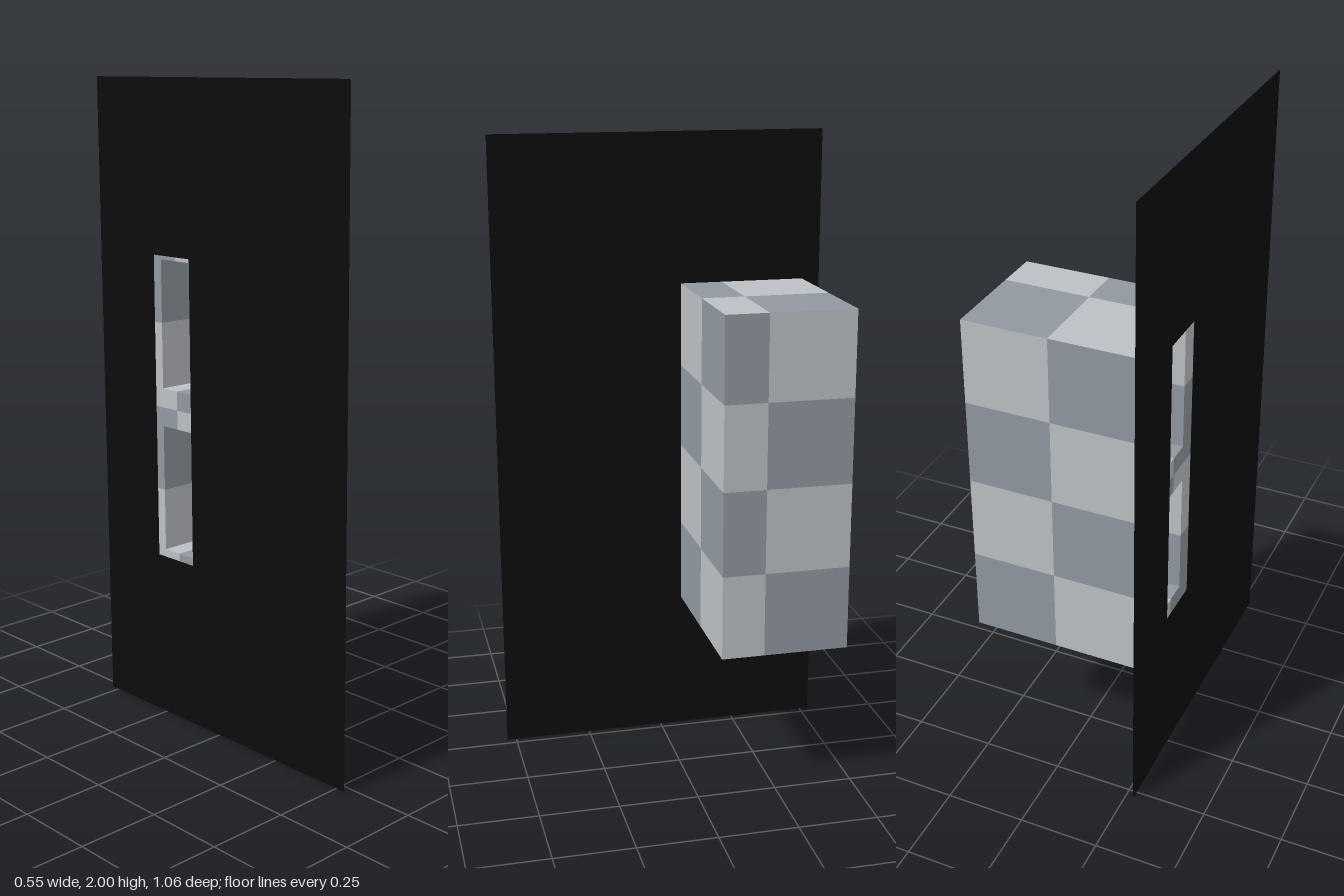
import * as THREE from 'three';
import { mergeGeometries } from 'three/addons/utils/BufferGeometryUtils.js';

const paint = (name, color) => {
  const m = new THREE.MeshStandardMaterial({ color });
  m.name = name;
  return m;
};

// Checker boundaries along x, y and z
const CUTS = [[0.01], [0.735, 1.0, 1.265, 1.53], [-0.2]];

export function createModel() {
  const light = paint('lightGrey', 0xbcc0c4);
  const dark = paint('darkGrey', 0x9098a0);
  const black = paint('black', 0x0c0c0c);
  black.side = THREE.DoubleSide;

  const model = new THREE.Group();
  model.name = 'strikePlateWithBox';

  // Rectangle facing sign * axis, split into checker cells
  const face = (cells, axis, sign, at, uRange, vRange) => {
    const u = (axis + 1) % 3, v = (axis + 2) % 3;
    const split = (k, [a, b]) => [a, ...CUTS[k].filter(c => c > a && c < b), b];
    const us = split(u, uRange), vs = split(v, vRange);
    for (let i = 0; i < us.length - 1; i++) {
      for (let j = 0; j < vs.length - 1; j++) {
        const corner = (a, b) => {
          const p = [0, 0, 0];
          p[axis] = at; p[u] = a; p[v] = b;
          return p;
        };
        const mid = corner((us[i] + us[i + 1]) / 2, (vs[j] + vs[j + 1]) / 2);
        const parity = mid.reduce((n, c, k) => n + CUTS[k].filter(t => c >= t).length, 0) % 2;
        const pts = [corner(us[i], vs[j]), corner(us[i + 1], vs[j]),
          corner(us[i + 1], vs[j + 1]), corner(us[i], vs[j + 1])];
        const g = new THREE.BufferGeometry();
        g.setAttribute('position', new THREE.Float32BufferAttribute(pts.flat(), 3));
        g.setIndex(sign > 0 ? [0, 1, 2, 0, 2, 3] : [0, 2, 1, 0, 3, 2]);
        g.computeVertexNormals();
        cells[parity].push(g);
      }
    }
  };

  const addCells = (name, cells) => {
    const group = new THREE.Group();
    group.name = name;
    cells.forEach((list, k) => {
      if (!list.length) return;
      const mesh = new THREE.Mesh(mergeGeometries(list), k ? dark : light);
      mesh.name = name + (k ? 'DarkChecks' : 'LightChecks');
      group.add(mesh);
    });
    model.add(group);
  };

  // Outer box; its -x side is a frame around two pockets
  const X = [-0.256, 0.275], Y = [0.47, 1.53], Z = [-0.466, -0.067];
  const pocketZ = [-0.265, -0.13], pocketsY = [[0.54, 0.94], [1.06, 1.46]];
  const box = [[], []];
  face(box, 0, 1, X[1], Y, Z);
  for (const [sign, k] of [[-1, 0], [1, 1]]) {
    face(box, 1, sign, Y[k], Z, X);
    face(box, 2, sign, Z[k], X, Y);
  }
  face(box, 0, -1, X[0], Y, [Z[0], pocketZ[0]]);
  face(box, 0, -1, X[0], Y, [pocketZ[1], Z[1]]);
  for (const y of [[Y[0], 0.54], [0.94, 1.06], [1.46, Y[1]]]) {
    face(box, 0, -1, X[0], y, pocketZ);
  }
  addCells('box', box);

  // Pocket walls face inward
  const pockets = [[], []];
  const depth = [X[0], 0.1];
  for (const y of pocketsY) {
    face(pockets, 0, -1, depth[1], y, pocketZ);
    for (const [sign, k] of [[1, 0], [-1, 1]]) {
      face(pockets, 1, sign, y[k], pocketZ, depth);
      face(pockets, 2, sign, pocketZ[k], depth, y);
    }
  }
  addCells('pockets', pockets);

  // Thin black plate with a tall slot
  const rect = (Type, x0, x1, y0, y1) => new Type([
    [x0, y0], [x1, y0], [x1, y1], [x0, y1]].map(p => new THREE.Vector2(...p)));
  const outline = rect(THREE.Shape, -0.53, 0.53, 0, 2);
  outline.holes.push(rect(THREE.Path, -0.275, -0.115, 0.525, 1.475));
  const plate = new THREE.Mesh(new THREE.ShapeGeometry(outline), black);
  plate.name = 'plate';
  plate.rotation.y = -Math.PI / 2;
  plate.position.x = -0.275;
  model.add(plate);

  return model;
}
